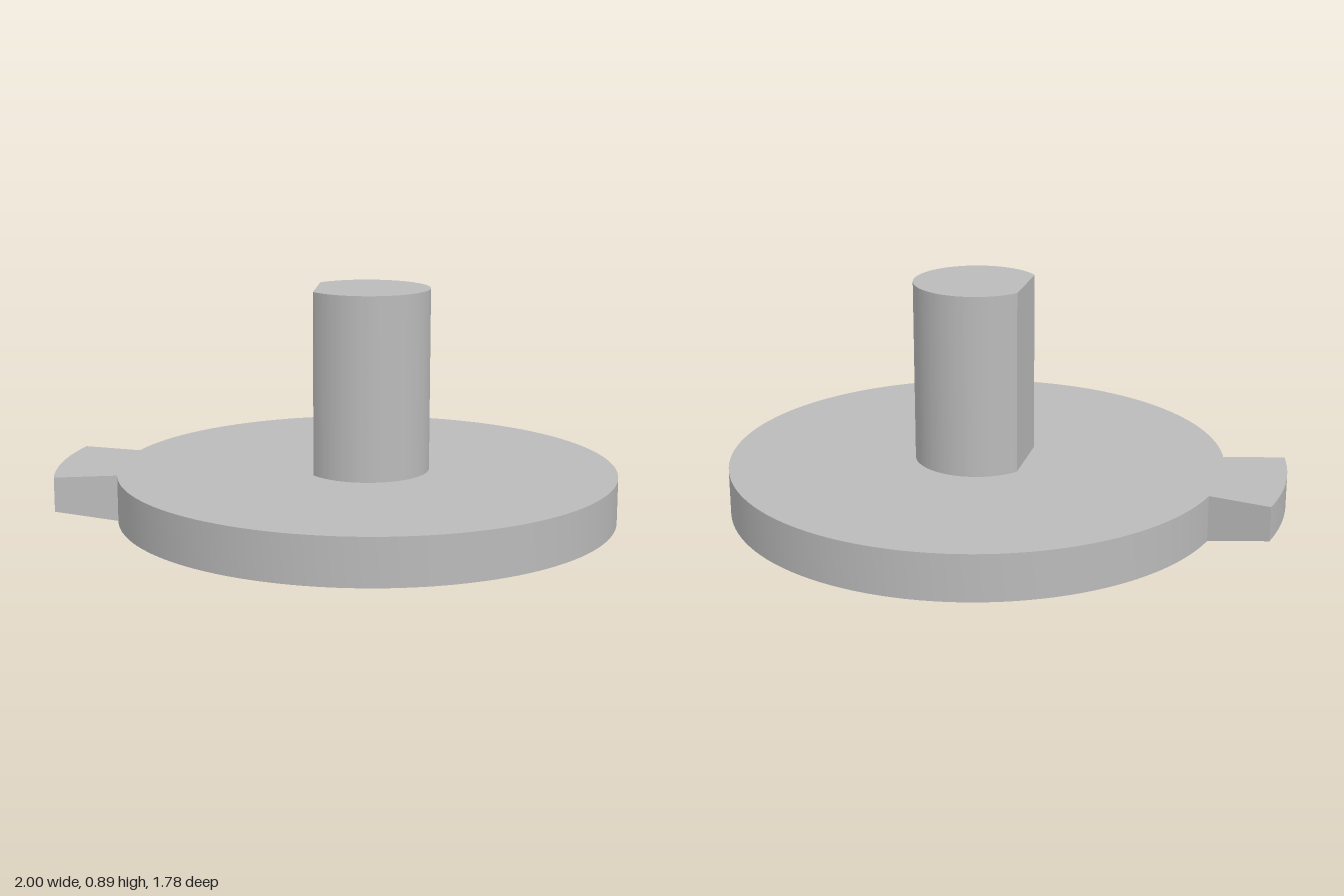
import * as THREE from 'three';
import { toCreasedNormals } from 'three/addons/utils/BufferGeometryUtils.js';

const AXIS_X = 0.11, DISC_R = 0.89, TAB_R = 1.11, DISC_TOP = 0.24;
const SHAFT_R = 0.222, SHAFT_TOP = 0.89, FLAT = -0.18;

// Height of the shallow domed underside at a given radius
const dome = (r) => 0.0945 * r * r;

// Extrude a plan outline upward from y = bottom to y = top
function prism(shape, bottom, top) {
  const geo = new THREE.ExtrudeGeometry(shape, { depth: top - bottom, bevelEnabled: false, curveSegments: 64 });
  return geo.rotateX(-Math.PI / 2).translate(0, bottom, 0);
}

export function createModel() {
  const model = new THREE.Group();
  model.name = 'keyedDiscWithShaft';
  const metal = new THREE.MeshStandardMaterial({ color: 0xbababa });
  metal.name = 'plain grey';

  const add = (name, geo) => {
    const mesh = new THREE.Mesh(toCreasedNormals(geo, 0.5), metal);
    mesh.name = name;
    mesh.position.x = AXIS_X;
    model.add(mesh);
  };

  // Round disc: domed underside, straight rim, flat top
  const profile = [];
  for (let i = 0; i <= 12; i++) {
    const r = (DISC_R * i) / 12;
    profile.push(new THREE.Vector2(r, dome(r)));
  }
  profile.push(new THREE.Vector2(DISC_R, DISC_TOP), new THREE.Vector2(0, DISC_TOP));
  add('disc', new THREE.LatheGeometry(profile, 128));

  // Locating tab: ring sector whose underside continues the dome
  const half = THREE.MathUtils.degToRad(12.75);
  const sector = new THREE.Shape();
  sector.absarc(0, 0, TAB_R, Math.PI - half, Math.PI + half, false);
  sector.absarc(0, 0, DISC_R - 0.003, Math.PI + half, Math.PI - half, true);
  const tab = prism(sector, 0, DISC_TOP);
  const p = tab.attributes.position;
  for (let i = 0; i < p.count; i++) {
    if (p.getY(i) < 0.01) p.setY(i, dome(Math.hypot(p.getX(i), p.getZ(i))));
  }
  add('tab', tab);

  // Shaft with one flat side facing the tab
  const a = Math.acos(FLAT / SHAFT_R);
  const section = new THREE.Shape();
  section.absarc(0, 0, SHAFT_R, -a, a, false);
  section.closePath();
  add('shaft', prism(section, DISC_TOP - 0.01, SHAFT_TOP));

  return model;
}
